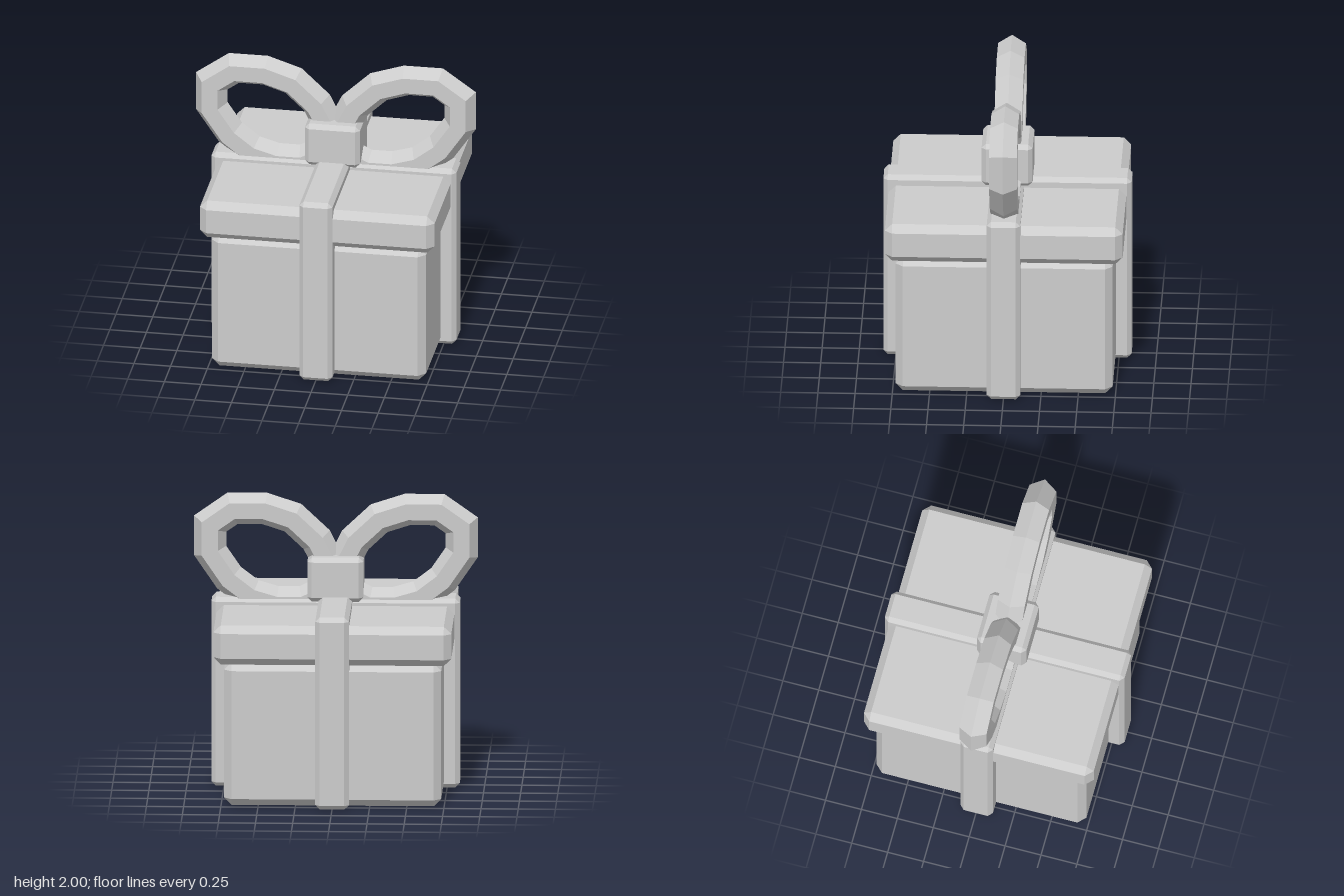
import * as THREE from 'three';
import { ConvexGeometry } from 'three/addons/geometries/ConvexGeometry.js';

const grey = new THREE.MeshStandardMaterial({ color: 0xcccccc });
grey.name = 'light grey';
grey.flatShading = true;

// Box with chamfered edges and triangular corners, from half sizes and a y range
function chamferBox(name, hx, y0, y1, hz, bevel) {
  const hy = (y1 - y0) / 2;
  const points = [];
  for (const sx of [-1, 1]) for (const sy of [-1, 1]) for (const sz of [-1, 1]) {
    for (let axis = 0; axis < 3; axis++) {
      const b = [bevel, bevel, bevel];
      b[axis] = 0;
      points.push(new THREE.Vector3(sx * (hx - b[0]), sy * (hy - b[1]), sz * (hz - b[2])));
    }
  }
  const mesh = new THREE.Mesh(new ConvexGeometry(points), grey);
  mesh.name = name;
  mesh.position.y = (y0 + y1) / 2;
  return mesh;
}

// Closed hexagonal band swept with mitred joints along a clockwise path in the xy plane
function loopGeometry(path, radius) {
  const n = path.length;
  const rings = path.map((p, i) => {
    const a = p.clone().sub(path[(i + n - 1) % n]).normalize();
    const b = path[(i + 1) % n].clone().sub(p).normalize();
    const t = a.clone().add(b).normalize();
    const out = new THREE.Vector2(-t.y, t.x).multiplyScalar(1 / Math.max(0.8, t.dot(a)));
    return Array.from({ length: 6 }, (_, k) => {
      const angle = (k * Math.PI) / 3;
      const r = radius * Math.cos(angle);
      return [p.x + out.x * r, p.y + out.y * r, radius * Math.sin(angle)];
    });
  });
  const positions = [];
  for (let i = 0; i < n; i++) {
    const r0 = rings[i], r1 = rings[(i + 1) % n];
    for (let k = 0; k < 6; k++) {
      const j = (k + 1) % 6;
      positions.push(...r0[k], ...r0[j], ...r1[j], ...r0[k], ...r1[j], ...r1[k]);
    }
  }
  const geometry = new THREE.BufferGeometry();
  geometry.setAttribute('position', new THREE.Float32BufferAttribute(positions, 3));
  geometry.computeVertexNormals();
  return geometry;
}

export function createModel() {
  const model = new THREE.Group();
  model.name = 'giftBox';

  // Box and overhanging lid
  model.add(chamferBox('boxBody', 0.73, 0, 0.98, 0.73, 0.05));
  model.add(chamferBox('lid', 0.8, 0.98, 1.25, 0.8, 0.05));

  // Crossing ribbons
  model.add(chamferBox('frontToBackRibbon', 0.113, 0, 1.32, 0.835, 0.03));
  model.add(chamferBox('sideToSideRibbon', 0.835, 0, 1.3, 0.113, 0.03));

  // Bow: two mirrored loops and a knot
  const path = [
    [0.04, 1.5], [0.13, 1.68], [0.29, 1.83], [0.48, 1.892], [0.695, 1.892],
    [0.846, 1.785], [0.846, 1.6], [0.72, 1.415], [0.57, 1.3], [0.4, 1.25],
    [0.22, 1.25], [0.08, 1.32],
  ].map(([x, y]) => new THREE.Vector2(x, y));
  const mirrored = path.map((p) => new THREE.Vector2(-p.x, p.y)).reverse();
  for (const [name, points] of [['leftBowLoop', path], ['rightBowLoop', mirrored]]) {
    const loop = new THREE.Mesh(loopGeometry(points, 0.108), grey);
    loop.name = name;
    model.add(loop);
  }
  model.add(chamferBox('bowKnot', 0.188, 1.285, 1.588, 0.172, 0.03));

  return model;
}
